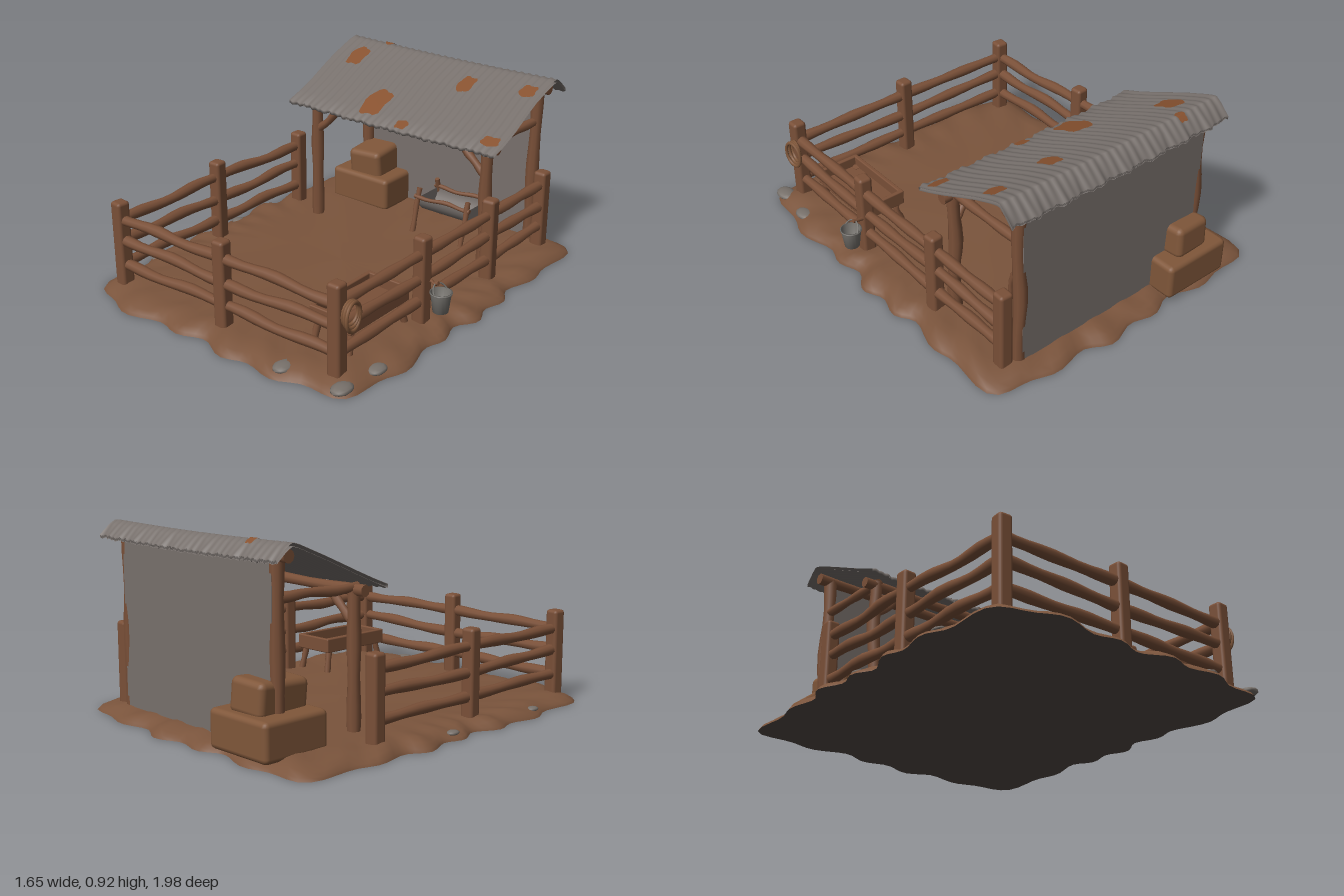
import * as THREE from 'three';
import { RoundedBoxGeometry } from 'three/addons/geometries/RoundedBoxGeometry.js';

const mat = (name, color, side = THREE.FrontSide) => {
  const m = new THREE.MeshStandardMaterial({ color, side });
  m.name = name;
  return m;
};

export function createModel() {
  const root = new THREE.Group();
  root.name = 'animalPen';
  const wood = mat('wood', 0x7a5038), dirt = mat('dirt', 0x7a543c), hay = mat('hay', 0x80573a);
  const under = mat('underside', 0x544a45), sheet = mat('sheetMetal', 0x77706c, THREE.DoubleSide);
  const wallMat = mat('wallMetal', 0x78706c), rust = mat('rust', 0x87512f, THREE.DoubleSide);
  const bucketMat = mat('bucketMetal', 0x77746f, THREE.DoubleSide), stone = mat('stone', 0x77706a);
  const V = (x, y, z) => new THREE.Vector3(x, y, z);

  const add = (name, geo, material, parent = root) => {
    const m = new THREE.Mesh(geo, material);
    m.name = name;
    parent.add(m);
    return m;
  };
  const group = (name) => {
    const g = new THREE.Group();
    g.name = name;
    root.add(g);
    return g;
  };
  const gridIndex = (rows, cols, wrap) => {
    const idx = [];
    for (let i = 0; i < rows - 1; i++) for (let j = 0; j < (wrap ? cols : cols - 1); j++) {
      const k = (j + 1) % cols;
      const a = i * cols + j, b = i * cols + k, c = a + cols, d = b + cols;
      idx.push(a, b, c, b, d, c);
    }
    return idx;
  };
  const surface = (pts, idx) => {
    const g = new THREE.BufferGeometry();
    g.setAttribute('position', new THREE.Float32BufferAttribute(pts, 3));
    g.setIndex(idx);
    g.computeVertexNormals();
    return g;
  };

  // Uneven log between two points
  let seed = 0;
  const log = (name, a, b, r, parent = root) => {
    const len = a.distanceTo(b), s = ++seed * 1.7;
    const g = new THREE.CylinderGeometry(r, r, len, 9, 10);
    const p = g.attributes.position;
    for (let i = 0; i < p.count; i++) {
      const t = p.getY(i) / len + 0.5;
      const k = 1 + 0.1 * Math.sin(t * 13 + s), bend = 0.006 * Math.sin(t * 7 + s) * Math.sin(Math.PI * t);
      p.setXYZ(i, p.getX(i) * k + bend, p.getY(i), p.getZ(i) * k + bend);
    }
    const m = add(name, g, wood, parent);
    m.position.copy(a).add(b).multiplyScalar(0.5);
    m.quaternion.setFromUnitVectors(V(0, 1, 0), b.clone().sub(a).normalize());
    return m;
  };
  const block = (name, w, h, d, x, y, z, material, r = 0.015, parent = root) => {
    const m = add(name, new RoundedBoxGeometry(w, h, d, 2, r), material, parent);
    m.position.set(x, y, z);
    return m;
  };

  // Dirt base with a scalloped edge
  const outline = (t) => {
    const c = Math.abs(Math.cos(t)), s = Math.abs(Math.sin(t));
    const r = Math.pow((c / 0.795) ** 10 + (s / 0.96) ** 10, -0.1);
    return r + 0.022 * Math.sin(t * 22 + 1) + 0.014 * Math.sin(t * 9 + 2.2);
  };
  const N = 144, rings = [0, 0.2, 0.4, 0.6, 0.75, 0.85, 0.91, 0.96, 0.99, 1];
  const pts = [], rim = [];
  for (const f of rings) for (let j = 0; j < N; j++) {
    const t = j / N * Math.PI * 2, r = outline(t) * f;
    const x = Math.cos(t) * r, z = THREE.MathUtils.clamp(Math.sin(t) * r, -1, 1);
    const bump = 0.004 * Math.sin(x * 11 + 1) * Math.cos(z * 9) + (f > 0.8 ? 0.006 * Math.sin(t * 31) : 0);
    const y = f === 1 ? 0 : f === 0.99 ? 0.014 : f === 0.96 ? 0.03 + bump : 0.046 + bump;
    pts.push(x, y, z);
    if (f === 1) rim.push(new THREE.Vector2(x, z));
  }
  add('ground', surface(pts, gridIndex(rings.length, N, true)), dirt);
  add('groundUnderside', new THREE.ShapeGeometry(new THREE.Shape(rim)).rotateX(Math.PI / 2), under);

  // Flat stones along the edge
  const stones = group('edgeStones');
  for (const [x, z, r] of [[0.74, 0.67, 0.045], [0.72, 0.88, 0.05], [0.42, 0.9, 0.05], [-0.76, 0.53, 0.03], [-0.76, -0.05, 0.03]]) {
    const m = add('stone', new THREE.IcosahedronGeometry(r, 1), stone, stones);
    m.scale.set(0.9, 0.4, 1.2);
    m.position.set(x, 0.027, z);
  }

  // Fence posts and rails
  const fence = group('fence');
  const posts = [[-0.67, -0.45, 0.44], [-0.675, 0.17, 0.46], [-0.67, 0.82, 0.46], [-0.01, 0.82, 0.46],
    [0.645, 0.82, 0.47], [0.65, 0.23, 0.46], [0.65, -0.32, 0.45], [0.65, -0.8, 0.44]];
  posts.forEach(([x, z, h], i) => {
    const m = block('fencePost', 0.068, h - 0.02, 0.068, x, h / 2 + 0.01, z, wood, 0.016, fence);
    m.rotation.y = 0.08 * Math.sin(i * 2.3);
  });
  for (let i = 0; i < posts.length - 1; i++) {
    const [ax, az] = posts[i], [bx, bz] = posts[i + 1];
    [0.14, 0.257, 0.37].forEach((y, k) => {
      const w = 0.007 * Math.sin(i * 3 + k * 2);
      log('fenceRail', V(ax, y + w, az), V(bx, y - w, bz), 0.026, fence);
    });
  }

  // Shelter frame
  const frame = group('shelterFrame');
  for (const [x, s] of [[-0.47, 1], [0.58, -1]]) {
    log('frontPost', V(x, 0.03, -0.38), V(x, 0.69, -0.38), 0.031, frame);
    log('backPost', V(x, 0.03, -0.82), V(x, 0.87, -0.82), 0.031, frame);
    log('sideBeam', V(x, 0.685, -0.36), V(x, 0.685, -0.82), 0.022, frame);
    log('brace', V(x, 0.52, -0.38), V(x + s * 0.15, 0.66, -0.38), 0.02, frame);
  }
  log('frontBeam', V(-0.54, 0.675, -0.38), V(0.64, 0.675, -0.38), 0.025, frame);
  log('ridgeBeam', V(-0.54, 0.865, -0.815), V(0.65, 0.865, -0.815), 0.028, frame);
  const wall = add('backWall', new THREE.BoxGeometry(1.05, 0.82, 0.014), wallMat);
  wall.position.set(0.055, 0.455, -0.842);

  // Corrugated roof: closed profile swept along x
  const roofY = (z) => z > -0.78 ? 0.69 + (-0.27 - z) * 0.425 : 0.907 + 0.012 * Math.sin((-0.78 - z) * 30) - Math.max(0, -0.82 - z) * 0.6;
  const zs = [-0.27, -0.35, -0.45, -0.55, -0.65, -0.74, -0.78, -0.8, -0.82, -0.85, -0.9];
  const loop = [...zs.map((z) => [z, 0]), ...zs.slice().reverse().map((z) => [z, -0.016])];
  const roofPts = [], cols = 200;
  for (let i = 0; i <= cols; i++) {
    const u = i / cols;
    for (const [z, dy] of loop) {
      const end = z === -0.27 || z === -0.9 ? 0.006 * Math.sin(u * 47) + 0.004 * Math.sin(u * 111) : 0;
      const wave = 0.003 * Math.sin(u * Math.PI * 60) - 0.008 * Math.sin(u * Math.PI) + 0.004;
      roofPts.push(-0.57 + u * 1.25 + 0.008 * Math.sin(z * 12), roofY(z) + dy + wave, z + end);
    }
  }
  add('roof', surface(roofPts, gridIndex(cols + 1, loop.length, true)), sheet);

  // Rust patches follow the roof slope
  const patches = group('rustPatches');
  for (const [x, z, w, d] of [[-0.43, -0.67, 0.05, 0.07], [-0.1, -0.4, 0.066, 0.095], [0.27, -0.65, 0.044, 0.058],
    [0.6, -0.69, 0.045, 0.042], [0.62, -0.335, 0.05, 0.032], [0.13, -0.305, 0.035, 0.03], [-0.33, -0.825, 0.025, 0.03]]) {
    const p = [];
    for (const f of [0, 0.5, 1]) for (let j = 0; j < 20; j++) {
      const t = j / 20 * Math.PI * 2, c = Math.cos(t), s = Math.sin(t);
      const r = f * Math.pow(c ** 4 + s ** 4, -0.25) * (0.93 + 0.09 * Math.sin(t * 5 + x * 20));
      const px = x + w * r * c, pz = Math.min(z + d * r * s, -0.272);
      const sag = 0.004 - 0.008 * Math.sin((px + 0.57) / 1.25 * Math.PI);
      p.push(px, roofY(pz) + sag + 0.006, pz);
    }
    add('rustPatch', surface(p, gridIndex(3, 20, true)), rust, patches);
  }

  // Hay bales through the back corner
  const bales = group('hayBales');
  block('lowerBale', 0.37, 0.18, 0.35, -0.385, 0.12, -0.8, hay, 0.025, bales);
  const upper = block('upperBale', 0.2, 0.16, 0.28, -0.38, 0.265, -0.79, hay, 0.03, bales);
  upper.rotation.set(0.06, 0.05, 0.04);

  // Wooden feed tray on splayed legs
  const tray = group('feedTray');
  block('trayFloor', 0.22, 0.02, 0.4, 0.505, 0.165, 0.49, wood, 0.005, tray);
  for (const s of [-1, 1]) {
    block('traySide', 0.022, 0.075, 0.42, 0.505 + s * 0.105, 0.19, 0.49, wood, 0.006, tray);
    block('trayEnd', 0.23, 0.075, 0.022, 0.505, 0.19, 0.49 + s * 0.2, wood, 0.006, tray);
    for (const q of [-1, 1])
      log('trayLeg', V(0.505 + q * 0.1, 0.03, 0.49 + s * 0.2), V(0.505 + q * 0.085, 0.18, 0.49 + s * 0.17), 0.016, tray);
  }

  // Half-round metal trough on A-frames
  const trough = group('waterTrough');
  const bowl = add('troughBowl', new THREE.CylinderGeometry(0.09, 0.09, 0.3, 16, 1, true, Math.PI / 2, Math.PI), sheet, trough);
  bowl.rotation.set(0, 0, Math.PI / 2);
  bowl.rotation.order = 'XYZ';
  bowl.geometry.rotateY(Math.PI / 2);
  bowl.position.set(0.22, 0.22, -0.64);
  for (const x of [0.07, 0.37]) {
    const cap = add('troughEnd', new THREE.CircleGeometry(0.09, 16, Math.PI, Math.PI), sheet, trough);
    cap.rotation.y = Math.PI / 2;
    cap.position.set(x, 0.22, -0.64);
    for (const s of [-1, 1])
      log('troughLeg', V(x, 0.03, -0.64 + s * 0.14), V(x, 0.27, -0.64 + s * 0.08), 0.014, trough);
  }
  for (const s of [-1, 1]) log('troughRail', V(0.05, 0.225, -0.64 + s * 0.092), V(0.39, 0.225, -0.64 + s * 0.092), 0.011, trough);

  // Bucket hanging on the side post
  const bucket = group('bucket');
  const profile = [[0, 0], [0.036, 0], [0.048, 0.088], [0.052, 0.09], [0.052, 0.097], [0.046, 0.097], [0.034, 0.008], [0, 0.008]];
  add('bucketBody', new THREE.LatheGeometry(profile.map(([x, y]) => new THREE.Vector2(x, y)), 20), bucketMat, bucket);
  const handle = add('bucketHandle', new THREE.TorusGeometry(0.049, 0.004, 6, 16, Math.PI), bucketMat, bucket);
  handle.rotation.set(0, Math.PI / 2, 0);
  handle.position.y = 0.09;
  handle.rotateX(-0.6);
  bucket.position.set(0.745, 0.11, 0.215);
  log('bucketPeg', V(0.66, 0.23, 0.215), V(0.73, 0.245, 0.215), 0.009);

  // Coiled rope on the corner post
  const rope = group('ropeCoil');
  for (let i = 0; i < 3; i++) {
    const coil = add('ropeLoop', new THREE.TorusGeometry(0.046 + i * 0.004, 0.008, 7, 24), hay, rope);
    coil.scale.y = 1.2;
    coil.rotation.y = Math.PI / 2 + (i - 1) * 0.12;
    coil.position.set(0.685 + i * 0.009, 0.325 - i * 0.006, 0.785);
  }
  return root;
}
